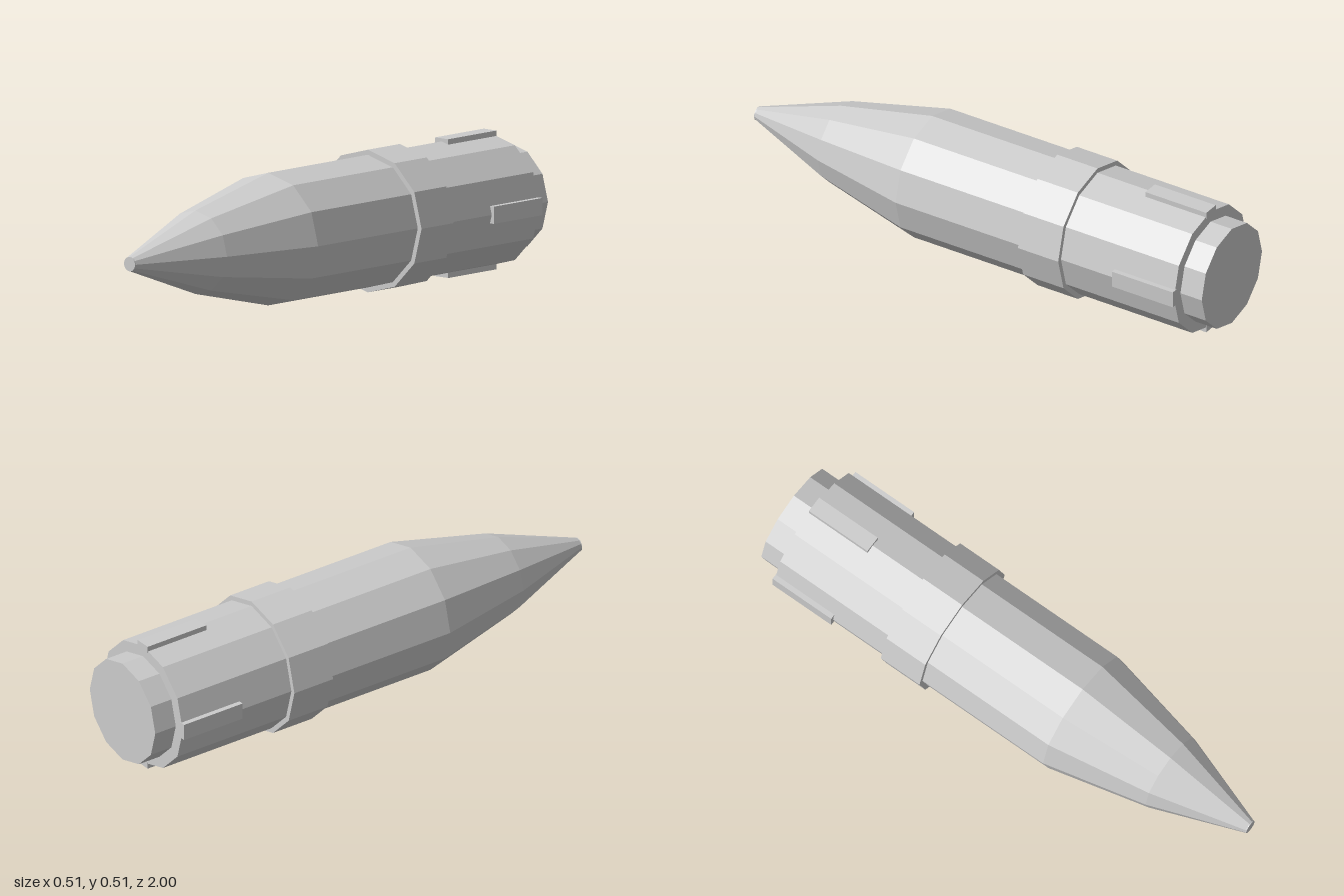
import * as THREE from 'three';

const SIDES = 12;
const AXIS_Y = 0.256; // height of the long axis

export function createModel() {
  const model = new THREE.Group();
  const mat = new THREE.MeshStandardMaterial({ color: 0xcccccc, flatShading: true });

  // Turned part lying along z; profile holds [radius, z] from back to front
  function turned(name, profile, sides = SIDES) {
    const points = profile.map(([r, z]) => new THREE.Vector2(r, z));
    const geo = new THREE.LatheGeometry(points, sides);
    geo.rotateX(Math.PI / 2);
    const mesh = new THREE.Mesh(geo, mat);
    mesh.name = name;
    mesh.position.y = AXIS_Y;
    model.add(mesh);
  }

  // Main barrel with two-step tapered nose
  turned('body', [[0, -0.91], [0.238, -0.91], [0.238, 0.265], [0.15, 0.65], [0.026, 0.998], [0, 0.998]]);
  // Small round tip
  turned('tip', [[0, 0.97], [0.026, 0.97], [0.026, 1], [0, 1]], 24);
  // Raised collar round the barrel
  turned('collar', [[0.23, -0.433], [0.256, -0.433], [0.256, -0.263], [0.23, -0.263]]);
  // Narrower plug at the back
  turned('endPlug', [[0, -1], [0.196, -1], [0.196, -0.9], [0, -0.9]]);

  // Four raised ribs near the back
  const ribGeo = new THREE.BoxGeometry(0.062, 0.026, 0.257);
  for (let i = 0; i < 4; i++) {
    const pivot = new THREE.Group();
    pivot.name = 'rib' + (i + 1);
    pivot.position.set(0, AXIS_Y, -0.7835);
    pivot.rotation.z = i * Math.PI / 2;
    const rib = new THREE.Mesh(ribGeo, mat);
    rib.name = 'ribBlock';
    rib.position.y = 0.236;
    pivot.add(rib);
    model.add(pivot);
  }

  return model;
}
